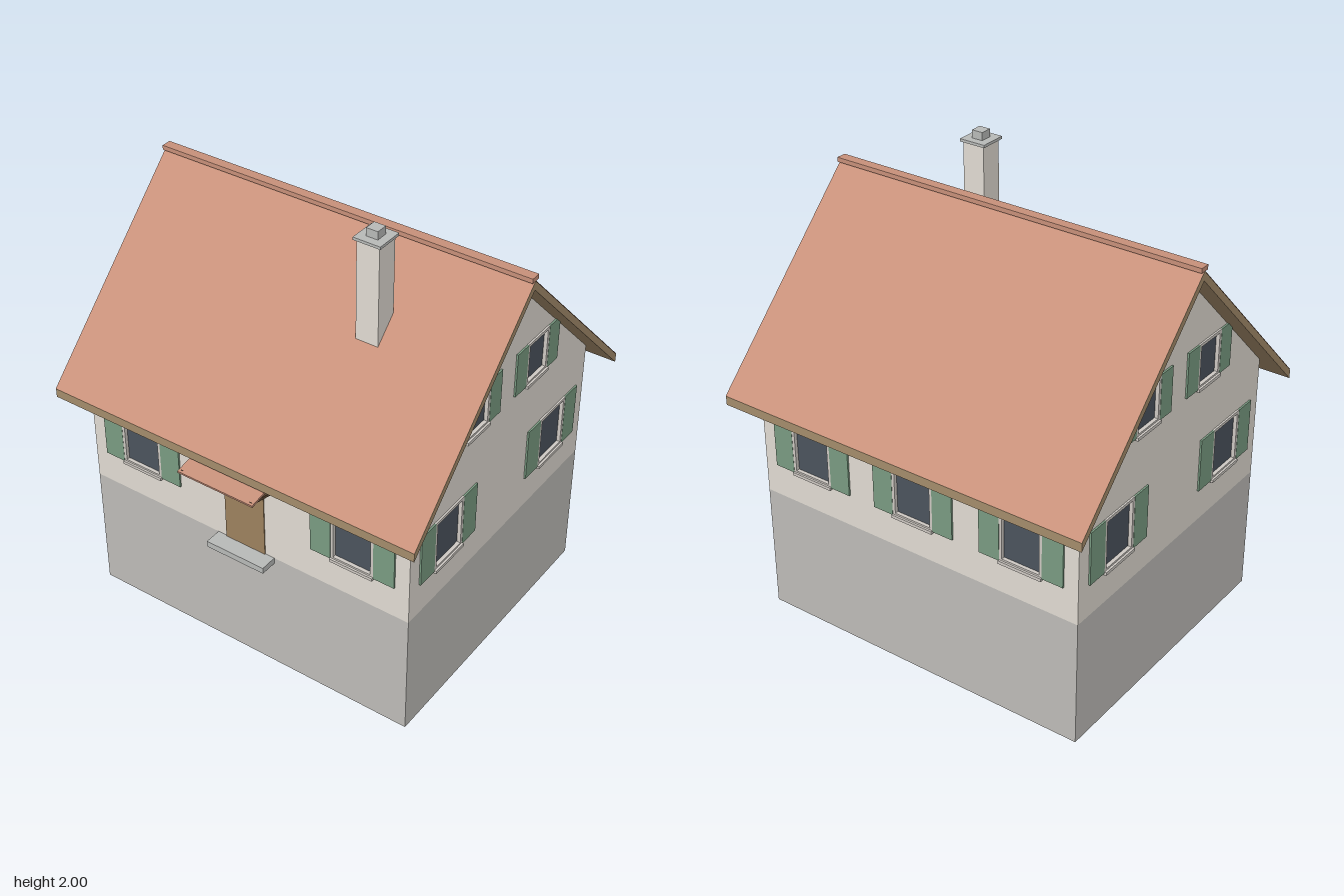
import * as THREE from 'three';

const mat = (color, side = THREE.FrontSide) =>
  new THREE.MeshStandardMaterial({ color, side, flatShading: true });
const M = {
  wall: mat(0xe2ddd4, THREE.DoubleSide),
  plinth: mat(0xbfbdb9, THREE.DoubleSide),
  tile: mat(0xc8917a, THREE.DoubleSide),
  wood: mat(0xa58d6c),
  strut: mat(0x5a4632),
  door: mat(0x9e825f),
  shutter: mat(0x7a9c82),
  glass: mat(0x4c545e),
  frame: mat(0xcfcac4),
  stone: mat(0xb9bbb9),
};

const HX = 0.786, HZ = 0.655, ZC = -0.035; // half width, half depth, depth centre
const BASE = 0.577, RIDGE = 1.825, DECK = 0.04, HALF = 0.769;

function add(parent, name, geometry, material, x = 0, y = 0, z = 0) {
  const mesh = new THREE.Mesh(geometry, material);
  mesh.name = name;
  mesh.position.set(x, y, z);
  parent.add(mesh);
  return mesh;
}

function box(parent, name, material, w, h, d, x, y, z) {
  return add(parent, name, new THREE.BoxGeometry(w, h, d), material, x, y, z);
}

const rectPoints = (w, h, x = 0, y = 0) => [
  new THREE.Vector2(x - w / 2, y - h / 2), new THREE.Vector2(x + w / 2, y - h / 2),
  new THREE.Vector2(x + w / 2, y + h / 2), new THREE.Vector2(x - w / 2, y + h / 2),
];

// Glazed window with frame, sill and a pair of open shutters
function addWindow(side, { u, v, w, h, shutter }) {
  const g = new THREE.Group();
  g.name = 'window';
  g.position.set(u, v, 0);
  side.add(g);
  const ring = new THREE.Shape(rectPoints(w, h));
  ring.holes.push(new THREE.Path(rectPoints(w - 0.026, h - 0.026)));
  const ringGeo = new THREE.ExtrudeGeometry(ring, { depth: 0.028, bevelEnabled: false });
  add(g, 'windowFrame', ringGeo, M.frame, 0, 0, -0.02);
  box(g, 'windowPane', M.glass, w - 0.01, h - 0.01, 0.008, 0, 0, -0.012);
  box(g, 'windowSill', M.frame, w, 0.014, 0.022, 0, -h / 2 - 0.002, 0.006);
  for (const s of [-1, 1])
    box(g, 'shutter', M.shutter, shutter, h, 0.008, s * (w + shutter) / 2, 0, 0.005);
}

// One side of the house: plinth sheet, wall sheet with openings, windows
function addSide(house, name, halfWidth, outline, windows, x, z, turn) {
  const side = new THREE.Group();
  side.name = name;
  side.position.set(x, 0, z);
  side.rotation.y = turn;
  house.add(side);
  add(side, 'plinth', new THREE.PlaneGeometry(halfWidth * 2, BASE), M.plinth, 0, BASE / 2, 0);
  const shape = new THREE.Shape(outline.map(([u, v]) => new THREE.Vector2(u, v)));
  for (const o of windows)
    shape.holes.push(new THREE.Path(rectPoints(o.w - 0.006, o.h - 0.006, o.u, o.v)));
  add(side, 'wall', new THREE.ShapeGeometry(shape), M.wall);
  windows.forEach((o) => addWindow(side, o));
  return side;
}

export function createModel() {
  const house = new THREE.Group();
  house.name = 'house';

  // Walls
  const apex = RIDGE - DECK;
  const eave = apex - HZ;
  const low = (u) => ({ u, v: 0.847, w: 0.2, h: 0.24, shutter: 0.097 });
  const high = (u) => ({ u, v: 1.329, w: 0.163, h: 0.2, shutter: 0.082 });
  const front = addSide(house, 'frontSide', HX,
    [[-HX, BASE], [-0.098, BASE], [-0.098, 0.955], [0.098, 0.955], [0.098, BASE],
      [HX, BASE], [HX, eave], [-HX, eave]],
    [low(-0.524), low(0.524)], 0, ZC + HZ, 0);
  addSide(house, 'backSide', HX,
    [[-HX, BASE], [HX, BASE], [HX, eave], [-HX, eave]],
    [low(-0.524), low(0), low(0.524)], 0, ZC - HZ, Math.PI);
  for (const s of [-1, 1])
    addSide(house, s > 0 ? 'leftGable' : 'rightGable', HZ,
      [[-HZ, BASE], [HZ, BASE], [HZ, eave], [0, apex], [-HZ, eave]],
      [low(-0.393), low(0.393), high(-0.22), high(0.22)], s * HX, ZC, s * Math.PI / 2);

  // Entrance: door, step and canopy on two struts
  box(front, 'door', M.door, 0.196, 0.378, 0.014, 0, 0.766, -0.003);
  box(front, 'doorStep', M.stone, 0.284, 0.028, 0.076, 0, 0.563, 0.038);
  const canopy = box(front, 'canopy', M.tile, 0.366, 0.01, 0.184, 0, 1.005, 0.09);
  canopy.rotation.x = 0.18;
  for (const s of [-1, 1]) {
    const strut = box(front, 'canopyStrut', M.strut, 0.012, 0.012, 0.176, s * 0.168, 0.97, 0.086);
    strut.rotation.x = -0.24;
  }

  // Roof: wooden deck, tiled slopes and ridge cap
  const roof = new THREE.Group();
  roof.name = 'roof';
  roof.position.z = ZC - 0.001;
  house.add(roof);
  const length = 1.745;
  const profile = new THREE.Shape([
    [-HALF, RIDGE - HALF - DECK], [0, RIDGE - DECK], [HALF, RIDGE - HALF - DECK],
    [HALF, RIDGE - HALF], [0, RIDGE], [-HALF, RIDGE - HALF],
  ].map(([u, v]) => new THREE.Vector2(u, v)));
  const deck = new THREE.ExtrudeGeometry(profile, { depth: length, bevelEnabled: false });
  deck.rotateY(Math.PI / 2).translate(-length / 2, 0, 0);
  add(roof, 'roofDeck', deck, M.wood);
  for (const s of [-1, 1]) {
    const slope = new THREE.PlaneGeometry(length, HALF * Math.SQRT2);
    slope.rotateX(-Math.PI / 4).translate(0, RIDGE - HALF / 2 + 0.002, HALF / 2 + 0.001);
    if (s < 0) slope.rotateY(Math.PI);
    add(roof, 'roofTiles', slope, M.tile);
  }
  box(roof, 'ridgeCap', M.tile, length, 0.02, 0.045, 0, 1.834, 0);

  // Chimney
  const chimney = new THREE.Group();
  chimney.name = 'chimney';
  chimney.position.set(0.344, 0, 0.226);
  house.add(chimney);
  box(chimney, 'chimneyStack', M.wall, 0.102, 0.51, 0.102, 0, 1.7, 0);
  box(chimney, 'chimneyCap', M.stone, 0.122, 0.012, 0.122, 0, 1.959, 0);
  box(chimney, 'chimneyPot', M.stone, 0.052, 0.036, 0.052, 0, 1.982, 0);

  return house;
}
